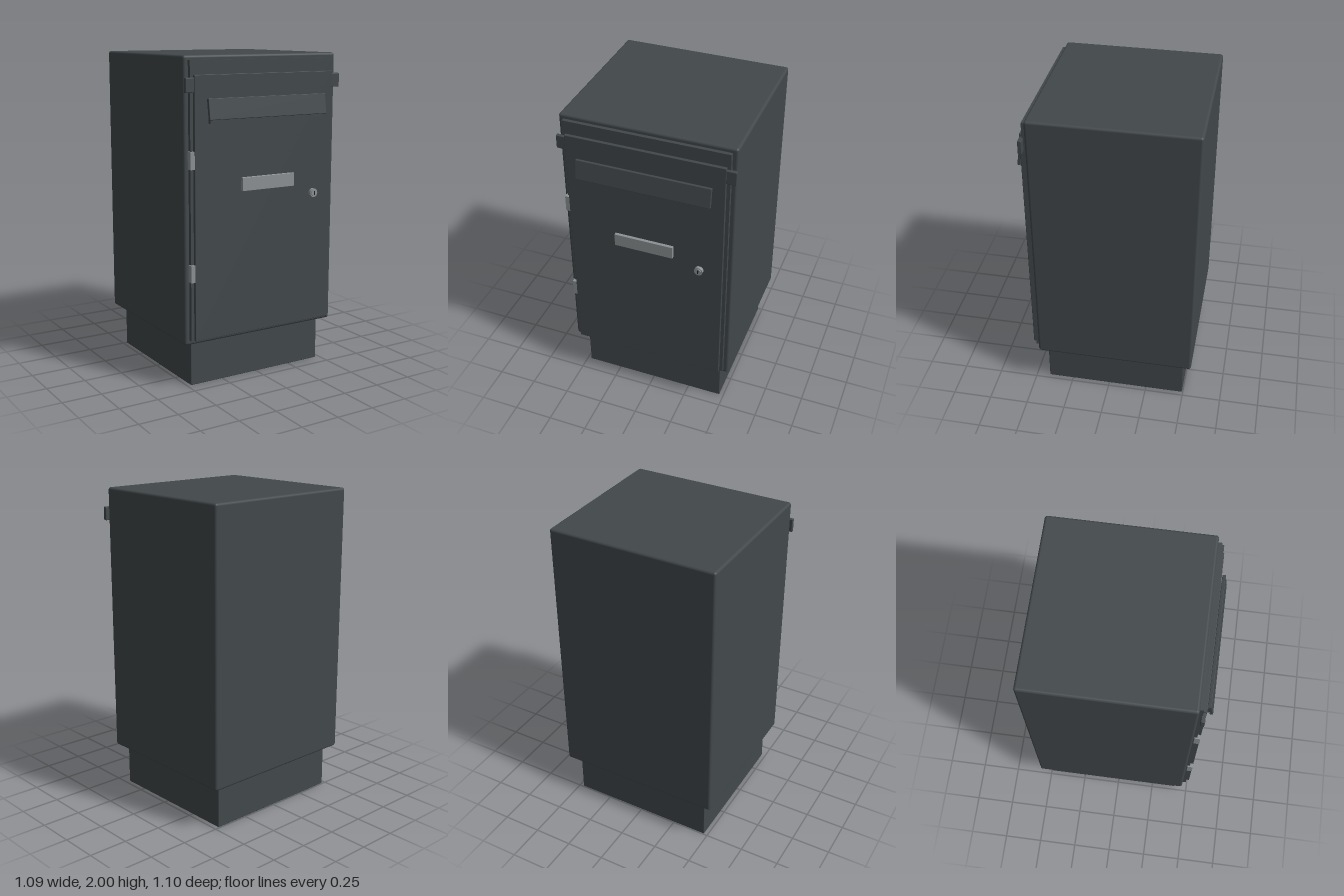
import * as THREE from 'three';
import { RoundedBoxGeometry } from 'three/addons/geometries/RoundedBoxGeometry.js';

export function createModel() {
  const group = new THREE.Group();
  group.name = 'parcelBox';

  const mat = (name, color) => {
    const m = new THREE.MeshStandardMaterial({ color });
    m.name = name;
    return m;
  };
  const slate = mat('slate paint', 0x42484b);
  const steel = mat('brushed steel', 0x8c9194);
  const black = mat('keyhole black', 0x1c1e20);

  const add = (name, geometry, material) => {
    const mesh = new THREE.Mesh(geometry, material);
    mesh.name = name;
    group.add(mesh);
    return mesh;
  };
  // Box given by its limits on each axis, with optional rounded edges
  const box = (name, material, [x0, x1], [y0, y1], [z0, z1], r = 0) => {
    const s = [x1 - x0, y1 - y0, z1 - z0];
    const g = r ? new RoundedBoxGeometry(...s, 3, r) : new THREE.BoxGeometry(...s);
    const mesh = add(name, g, material);
    mesh.position.set((x0 + x1) / 2, (y0 + y1) / 2, (z0 + z1) / 2);
    return mesh;
  };

  // Cabinet on its recessed plinth
  box('plinth', slate, [-0.475, 0.472], [0, 0.29], [-0.495, 0.412], 0.004);
  box('cabinet', slate, [-0.54, 0.54], [0.278, 2], [-0.55, 0.46], 0.016);

  // Raised front frame and door
  box('doorFrame', slate, [-0.51, 0.507], [0.308, 1.972], [0.45, 0.483]);
  box('door', slate, [-0.492, 0.487], [0.312, 1.89], [0.483, 0.504], 0.003);

  // Side tabs at the head of the door
  for (const side of [-1, 1]) {
    const inner = 0.485 * side, outer = 0.547 * side;
    box(side < 0 ? 'rightTab' : 'leftTab', slate,
      [Math.min(inner, outer), Math.max(inner, outer)], [1.79, 1.875], [0.476, 0.5], 0.004);
  }

  // Letter slot with a flap that leans out at the bottom
  box('slotSill', slate, [-0.4, 0.4], [1.61, 1.675], [0.5, 0.527]);
  const flap = box('slotFlap', slate, [-0.417, 0.415], [1.632, 1.756], [0.522, 0.542], 0.003);
  flap.rotation.x = -0.15;

  // Name plate
  box('namePlate', steel, [-0.187, 0.185], [1.2, 1.282], [0.52, 0.54], 0.002);

  // Lock: barrel, collar and keyhole
  const lockPart = (name, r, z0, z1) => {
    const mesh = add(name, new THREE.CylinderGeometry(r, r, z1 - z0, 24), steel);
    mesh.rotation.x = Math.PI / 2;
    mesh.position.set(0.345, 1.14, (z0 + z1) / 2);
  };
  lockPart('lockBarrel', 0.02, 0.5, 0.535);
  lockPart('lockCollar', 0.027, 0.51, 0.53);
  box('keyhole', black, [0.342, 0.348], [1.127, 1.153], [0.533, 0.537]);

  // Hinges on the right edge of the door
  for (const y of [0.727, 1.4]) {
    box('hinge', steel, [-0.519, -0.49], [y - 0.052, y + 0.052], [0.468, 0.502]);
  }

  return group;
}
